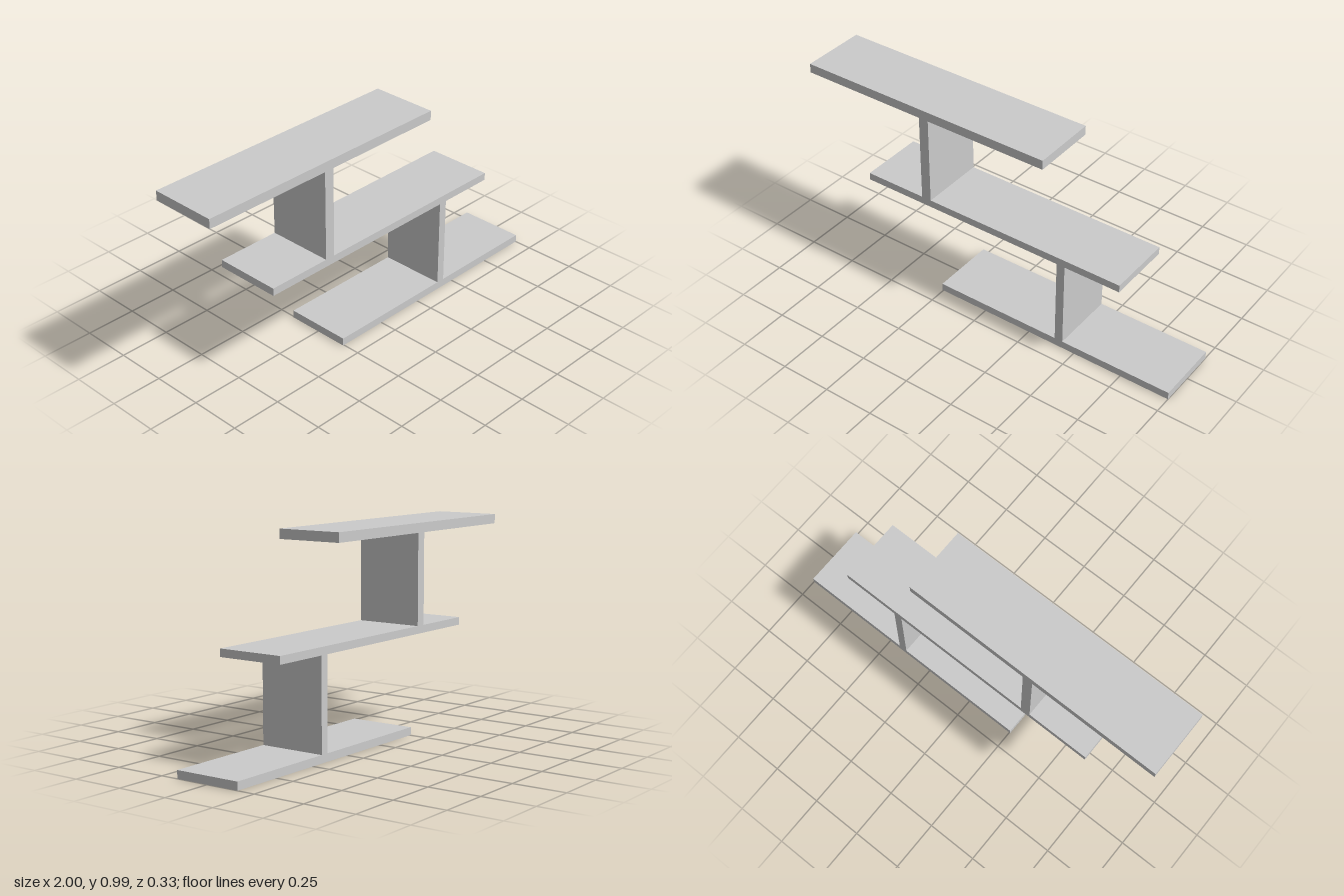
import * as THREE from 'three';

const DEPTH = 0.326;

export function createModel() {
  const group = new THREE.Group();
  const material = new THREE.MeshStandardMaterial({ color: 0xcccccc });

  // A board given by its left, right, bottom and top edges
  const board = (name, x0, x1, y0, y1) => {
    const mesh = new THREE.Mesh(new THREE.BoxGeometry(x1 - x0, y1 - y0, DEPTH), material);
    mesh.position.set((x0 + x1) / 2, (y0 + y1) / 2, 0);
    mesh.name = name;
    group.add(mesh);
  };

  // Three staggered shelves
  board('bottomShelf', -0.255, 1, 0, 0.038);
  board('middleShelf', -0.674, 0.72, 0.474, 0.511);
  board('topShelf', -1, 0.311, 0.947, 0.993);

  // Upright panels between them
  board('lowerUpright', 0.395, 0.437, 0.038, 0.474);
  board('upperUpright', -0.358, -0.308, 0.511, 0.947);

  return group;
}
